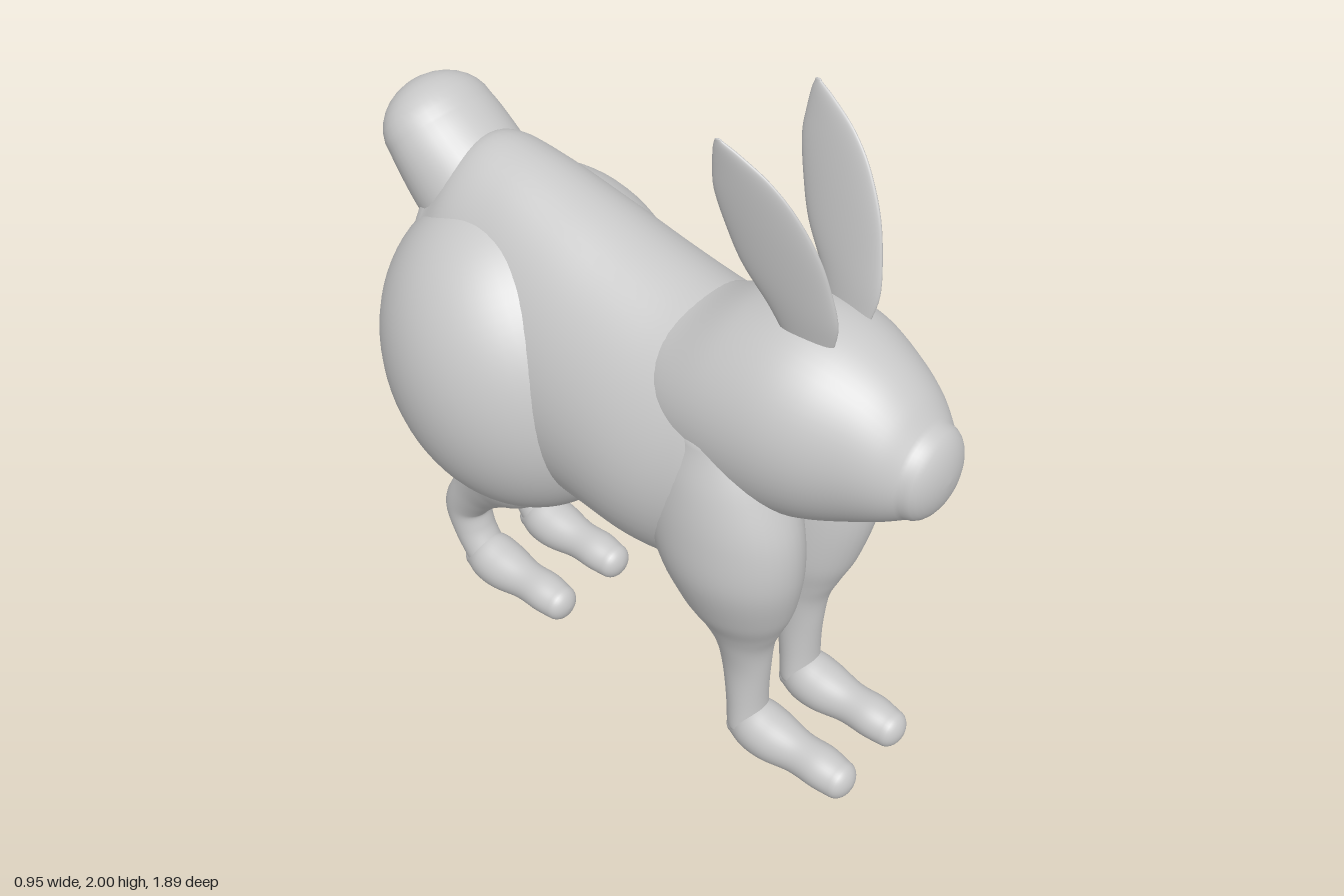
import * as THREE from 'three';

const fur = new THREE.MeshStandardMaterial({ color: 0xc8c8c8 });
fur.name = 'grey fur';

// Smooth closed tube through oval sections [x, y, z, halfWidth, halfDepth].
// dir fixes the ring axis; otherwise rings follow the path. cap = end roundness.
function loft(rows, { dir = null, taper = 0, capStart = 0.8, capEnd = 0.8, sides = 40 } = {}) {
  const path = new THREE.CatmullRomCurve3(rows.map(r => new THREE.Vector3(r[0], r[1], r[2])), false, 'catmullrom', 0.5);
  const size = new THREE.CatmullRomCurve3(rows.map(r => new THREE.Vector3(r[3], r[4], 0)), false, 'catmullrom', 0.5);
  const X = new THREE.Vector3(1, 0, 0);
  const pos = [], index = [];
  let rings = 0;

  function ring(t, angle, cap) {
    const T = dir ? dir.clone() : path.getTangent(t).setX(0).normalize();
    const V = T.clone().cross(X);
    const s = size.getPoint(t);
    const k = Math.max(Math.cos(angle), 0.002);
    const c = path.getPoint(t).addScaledVector(T, s.y * cap * Math.sin(angle));
    for (let j = 0; j < sides; j++) {
      const a = j / sides * Math.PI * 2;
      const p = c.clone()
        .addScaledVector(X, s.x * k * Math.cos(a) * (1 - taper * Math.sin(a)))
        .addScaledVector(V, s.y * k * Math.sin(a));
      pos.push(p.x, p.y, p.z);
    }
    rings++;
  }

  const capSteps = 8, steps = (rows.length - 1) * 6;
  for (let i = capSteps; i > 0; i--) ring(0, -i / capSteps * Math.PI / 2, capStart);
  for (let i = 0; i <= steps; i++) ring(i / steps, 0, 0);
  for (let i = 1; i <= capSteps; i++) ring(1, i / capSteps * Math.PI / 2, capEnd);

  for (let i = 0; i < rings - 1; i++) {
    for (let j = 0; j < sides; j++) {
      const a = i * sides + j, b = i * sides + (j + 1) % sides;
      index.push(a, b, a + sides, b, b + sides, a + sides);
    }
  }
  const g = new THREE.BufferGeometry();
  g.setAttribute('position', new THREE.Float32BufferAttribute(pos, 3));
  g.setIndex(index);
  g.computeVertexNormals();
  return g;
}

// Rows of [z, top, bottom, halfWidth] for parts that run front to back
const alongZ = (rows, x = 0) => rows.map(([z, top, bottom, w]) => [x, (top + bottom) / 2, z, w, (top - bottom) / 2]);

const FORWARD = new THREE.Vector3(0, 0, 1);
const UP = new THREE.Vector3(0, 1, 0);
const DOWN = new THREE.Vector3(0, -1, 0);

export function createModel() {
  const model = new THREE.Group();
  model.name = 'rabbit';
  const add = (name, geometry) => {
    const mesh = new THREE.Mesh(geometry, fur);
    mesh.name = name;
    model.add(mesh);
    return mesh;
  };

  // Torso with a narrow back
  add('torso', loft(alongZ([
    [-0.70, 1.50, 0.85, 0.25], [-0.60, 1.58, 0.75, 0.28], [-0.45, 1.57, 0.66, 0.30],
    [-0.25, 1.515, 0.61, 0.33], [-0.05, 1.455, 0.595, 0.345], [0.12, 1.415, 0.585, 0.35],
    [0.27, 1.40, 0.60, 0.335], [0.40, 1.38, 0.68, 0.31], [0.48, 1.30, 0.78, 0.26],
  ]), { dir: FORWARD, taper: 0.1, capStart: 0.25, capEnd: 0.3, sides: 56 }));

  // Head and neck
  add('head', loft(alongZ([
    [0.08, 1.38, 1.00, 0.20], [0.20, 1.41, 0.95, 0.26], [0.35, 1.48, 0.91, 0.285],
    [0.50, 1.515, 0.90, 0.285], [0.62, 1.50, 0.925, 0.262], [0.74, 1.445, 0.975, 0.212],
    [0.82, 1.385, 1.015, 0.172], [0.88, 1.315, 1.05, 0.128],
  ]), { dir: FORWARD, capStart: 0.3, capEnd: 0.5, sides: 56 }));

  // Tail
  add('tail', loft([
    [0, 1.34, -0.61, 0.185, 0.17], [0, 1.43, -0.695, 0.185, 0.17],
    [0, 1.50, -0.76, 0.183, 0.153], [0, 1.54, -0.80, 0.178, 0.142],
  ], { capStart: 0.3, capEnd: 1 }));

  for (const s of [1, -1]) {
    const side = s > 0 ? 'left' : 'right';

    // Big round haunch, leaning back
    const haunch = add(side + 'Haunch', new THREE.SphereGeometry(1, 56, 40));
    haunch.scale.set(0.395, 0.49, 0.40);
    haunch.rotation.x = -0.35;
    haunch.position.set(s * 0.08, 0.975, -0.44);

    // Front leg: rows of [y, zFront, zBack, xCentre, halfWidth]
    add(side + 'FrontLeg', loft([
      [1.16, 0.50, 0.24, 0.17, 0.12], [1.04, 0.565, 0.19, 0.172, 0.155],
      [0.90, 0.62, 0.16, 0.175, 0.17], [0.75, 0.63, 0.19, 0.172, 0.168],
      [0.60, 0.60, 0.25, 0.152, 0.14], [0.50, 0.56, 0.31, 0.137, 0.105],
      [0.42, 0.53, 0.355, 0.13, 0.083], [0.32, 0.52, 0.375, 0.125, 0.068],
      [0.20, 0.515, 0.395, 0.125, 0.066], [0.10, 0.52, 0.405, 0.125, 0.07],
    ].map(([y, f, b, x, w]) => [s * x, y, (f + b) / 2, w, (f - b) / 2]), { dir: DOWN, capStart: 0.4 }));

    // Hind leg, bending back to the hock
    add(side + 'HindLeg', loft([
      [s * 0.15, 0.70, -0.40, 0.16, 0.19], [s * 0.14, 0.58, -0.44, 0.14, 0.155],
      [s * 0.135, 0.485, -0.515, 0.11, 0.108], [s * 0.13, 0.39, -0.60, 0.085, 0.083],
      [s * 0.125, 0.285, -0.675, 0.075, 0.073], [s * 0.125, 0.19, -0.662, 0.067, 0.066],
      [s * 0.125, 0.10, -0.61, 0.065, 0.06],
    ], { capStart: 0.3 }));

    // Feet
    for (const [name, z0] of [['FrontFoot', 0], ['HindFoot', -1.08]]) {
      add(side + name, loft(alongZ([
        [0.435, 0.14, 0.025, 0.058], [0.49, 0.172, 0.005, 0.078], [0.56, 0.162, 0.003, 0.079],
        [0.65, 0.143, 0.015, 0.063], [0.73, 0.14, 0.016, 0.066], [0.79, 0.128, 0.015, 0.058],
      ].map(([z, ...r]) => [z + z0, ...r]), s * 0.125), { dir: FORWARD, capStart: 0.45, capEnd: 0.75 }));
    }

    // Thin leaf-shaped ear, sheared outwards towards the tip and back edge
    const ear = loft([
      [0, 1.46, 0.56, 0.016, 0.065], [0, 1.55, 0.547, 0.021, 0.096], [0, 1.65, 0.508, 0.022, 0.121],
      [0, 1.75, 0.475, 0.02, 0.125], [0, 1.85, 0.435, 0.016, 0.11], [0, 1.92, 0.404, 0.012, 0.077],
      [0, 1.97, 0.37, 0.008, 0.037], [0, 1.995, 0.35, 0.004, 0.01],
    ], { dir: UP, capStart: 0.3, capEnd: 0.5 });
    const p = ear.attributes.position;
    for (let i = 0; i < p.count; i++) {
      const lean = 0.095 + 0.155 * (p.getY(i) - 1.5) - 0.12 * (p.getZ(i) - 0.5);
      p.setX(i, p.getX(i) + s * lean);
    }
    ear.computeVertexNormals();
    add(side + 'Ear', ear);
  }
  return model;
}
